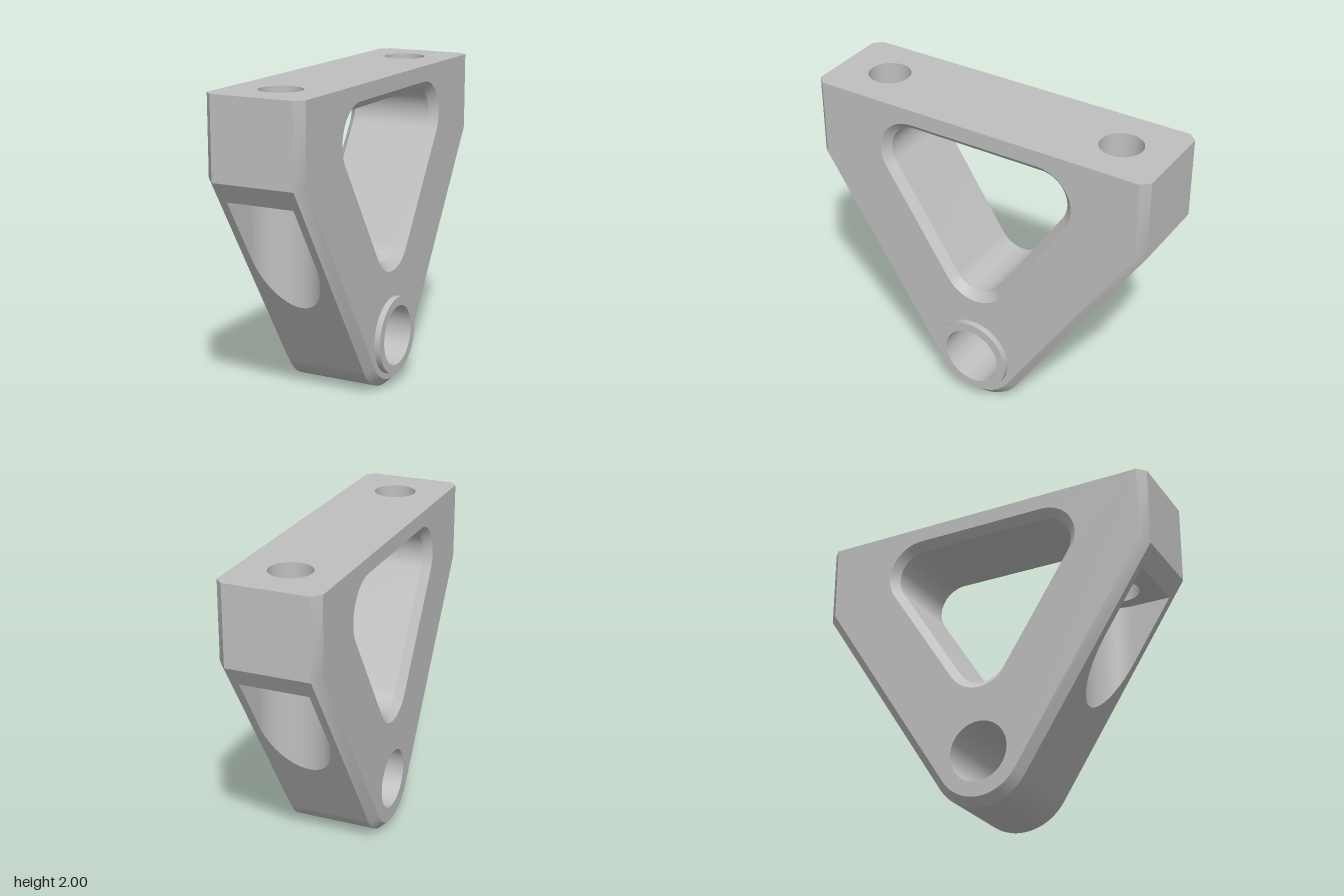
import * as THREE from 'three';
import { toCreasedNormals } from 'three/addons/utils/BufferGeometryUtils.js';

const HALF = 1.1455, TOP = 2, SHOULDER = 1.49;   // plate outline
const DEPTH = 0.32, BEVEL = 0.052;               // half thickness, edge chamfer
const PIVOT = 0.34, ROUND = 0.34;                // lower eye centre height, nose radius
const BORE = 0.193, BOSS = 0.25, BOSS_Z = 0.36;
const BOLT_X = 0.813, BOLT_R = 0.133, SLOT_R = 0.22, SLOT_Y = 1.365;
const EDGE = DEPTH - BEVEL;

// Angle of the outward normal of the sloping side, tangent to the nose
const dy = SHOULDER - PIVOT;
const A = Math.acos(ROUND / Math.hypot(HALF, dy)) - Math.atan2(dy, HALF);
const slopeY = (x) => SHOULDER - (HALF - x) / Math.tan(A);

const arc = (cx, cy, r, from, to, n = 24) =>
  Array.from({ length: n + 1 }, (_, i) => {
    const t = from + (to - from) * i / n;
    return new THREE.Vector2(cx + r * Math.cos(t), cy + r * Math.sin(t));
  });
const circle = (cx, cy, r) => arc(cx, cy, r, 0, Math.PI * 2, 64);
const v2 = (x, y) => new THREE.Vector2(x, y);

// Plate outline from upper left, round the nose, to upper right
function outline(inset) {
  const x = HALF - inset, r = ROUND - inset;
  const y = PIVOT + (Math.cos(A) * x - r) / Math.sin(A);
  return [v2(-x, TOP), v2(-x, y), ...arc(0, PIVOT, r, Math.PI + A, Math.PI * 2 - A, 32), v2(x, y), v2(x, TOP)];
}

// Rounded triangular window
function windowOutline(r) {
  const p = [
    ...arc(0.44, 1.67, r, -A, Math.PI / 2),
    ...arc(-0.44, 1.67, r, Math.PI / 2, Math.PI + A),
    ...arc(0, 0.99, r, Math.PI + A, Math.PI * 2 - A),
  ];
  return [...p, p[0].clone()];
}

// Flat face with holes, optionally remapped into another plane
function face(points, holes, map) {
  const shape = new THREE.Shape(points);
  holes.forEach((h) => shape.holes.push(new THREE.Path(h)));
  const g = new THREE.ShapeGeometry(shape);
  const p = g.attributes.position;
  for (let i = 0; i < p.count; i++) p.setXYZ(i, ...map(p.getX(i), p.getY(i)));
  g.computeVertexNormals();
  return g;
}

// Strip of quads between two matching rows of 3D points
function skin(a, b) {
  const pos = [];
  for (let i = 0; i < a.length - 1; i++) {
    for (const q of [a[i], b[i], b[i + 1], a[i], b[i + 1], a[i + 1]]) pos.push(...q);
  }
  const g = new THREE.BufferGeometry();
  g.setAttribute('position', new THREE.Float32BufferAttribute(pos, 3));
  return toCreasedNormals(g, 0.5);
}
const atZ = (pts, z) => pts.map((p) => [p.x, p.y, z]);
const atY = (pts, y) => pts.map((p) => [p.x, y, p.y]);

export function createModel() {
  const steel = new THREE.MeshStandardMaterial({ color: 0xbfbfbf, side: THREE.DoubleSide });
  steel.name = 'plain grey metal';
  const model = new THREE.Group();
  model.name = 'bracket';
  const add = (parent, name, geometry) => {
    const m = new THREE.Mesh(geometry, steel);
    m.name = name;
    parent.add(m);
  };

  const full = outline(0), inset = outline(BEVEL);
  const win = windowOutline(0.18), winWide = windowOutline(0.23);
  const bore = circle(0, PIVOT, BORE);

  // Front and back faces with their chamfers
  for (const s of [1, -1]) {
    const side = s > 0 ? 'front' : 'back';
    const half = new THREE.Group();
    half.name = side + 'Side';
    half.rotation.y = s > 0 ? 0 : Math.PI;
    add(half, side + 'Face', face(inset, [winWide, bore], (x, y) => [x, y, DEPTH]));
    add(half, side + 'Chamfer', skin(atZ(inset, DEPTH), atZ(full, EDGE)));
    add(half, side + 'WindowChamfer', skin(atZ(win, DEPTH - 0.05), atZ(winWide, DEPTH)));
    model.add(half);
  }
  add(model, 'windowWall', skin(atZ(win, 0.05 - DEPTH), atZ(win, DEPTH - 0.05)));

  // Rounded nose, pivot bore and raised boss
  const nose = full.slice(2, -2);
  add(model, 'nose', skin(atZ(nose, EDGE), atZ(nose, -EDGE)));
  add(model, 'pivotBore', skin(atZ(bore, -DEPTH), atZ(bore, BOSS_Z)));
  const rim = circle(0, PIVOT, BOSS);
  add(model, 'bossWall', skin(atZ(rim, BOSS_Z), atZ(rim, DEPTH)));
  add(model, 'bossFace', face(rim, [bore], (x, y) => [x, y, BOSS_Z]));

  // Top mounting face
  const c = HALF - BEVEL;
  const plan = [v2(-c, -DEPTH), v2(c, -DEPTH), v2(HALF, -EDGE), v2(HALF, EDGE),
    v2(c, DEPTH), v2(-c, DEPTH), v2(-HALF, EDGE), v2(-HALF, -EDGE)];
  add(model, 'topFace', face(plan, [circle(BOLT_X, 0, BOLT_R), circle(-BOLT_X, 0, BOLT_R)],
    (x, y) => [x, TOP, -y]));

  // Each arm: end wall, sloping side, bolt-head pocket and bolt hole
  const noseX = ROUND * Math.cos(A);
  const mouthX = HALF - (SHOULDER - SLOT_Y) * Math.tan(A);
  const slot = [v2(mouthX, SLOT_R), ...arc(BOLT_X, 0, SLOT_R, Math.PI / 2, Math.PI * 1.5, 32), v2(mouthX, -SLOT_R)];
  const bolt = circle(BOLT_X, 0, BOLT_R);
  for (const s of [1, -1]) {
    const arm = new THREE.Group();
    arm.name = s > 0 ? 'leftArm' : 'rightArm';
    arm.rotation.y = s > 0 ? 0 : Math.PI;
    const end = full.slice(-2);
    add(arm, 'endWall', skin(atZ(end, EDGE), atZ(end, -EDGE)));
    add(arm, 'slopingSide', face(
      [v2(noseX, -EDGE), v2(HALF, -EDGE), v2(HALF, EDGE), v2(noseX, EDGE)], [slot],
      (x, y) => [x, slopeY(x), y]));
    add(arm, 'pocketWall', skin(slot.map((p) => [p.x, slopeY(p.x), p.y]), atY(slot, SLOT_Y)));
    add(arm, 'pocketCeiling', face(slot, [bolt], (x, y) => [x, SLOT_Y, y]));
    add(arm, 'boltHole', skin(atY(bolt, SLOT_Y), atY(bolt, TOP)));
    model.add(arm);
  }

  // The plate stands diagonally
  model.rotation.y = Math.PI / 4;
  const root = new THREE.Group();
  root.name = 'diagonalBracket';
  root.add(model);
  return root;
}
